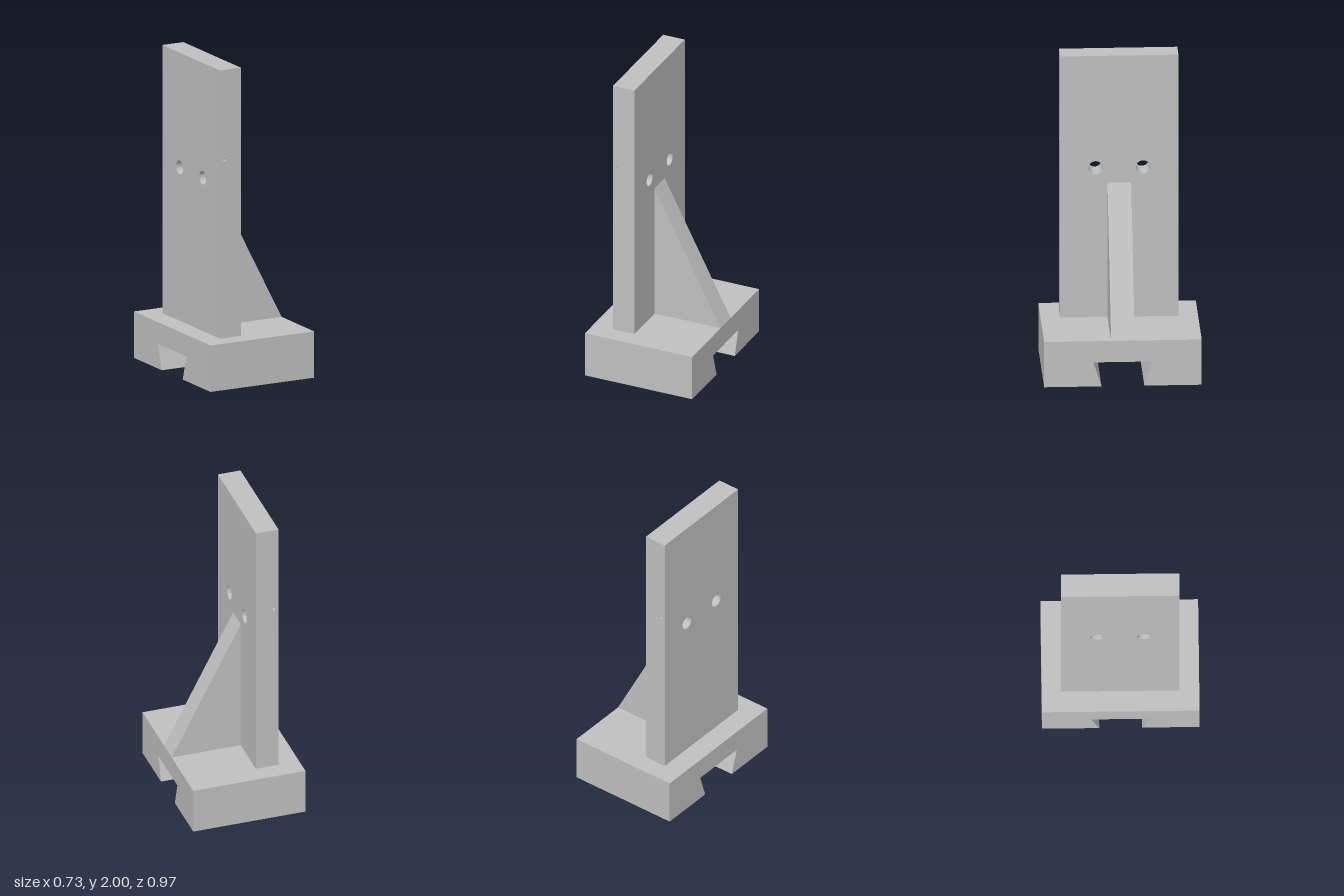
import * as THREE from 'three';
import { toCreasedNormals } from 'three/addons/utils/BufferGeometryUtils.js';

const BASE_TOP = 0.295, TOP = 2, SEAM = 1.36;
const PLATE_X0 = -0.231, PLATE_X1 = -0.084;
const PLATE_HALF = 0.365, BASE_HALF_X = 0.365, BASE_HALF_Z = 0.486;

// Closed outline with optional round holes given as [x, y, radius]
function outline(points, holes = []) {
  const shape = new THREE.Shape(points.map(([x, y]) => new THREE.Vector2(x, y)));
  for (const [x, y, r] of holes) {
    const hole = new THREE.Path();
    hole.absarc(x, y, r, 0, Math.PI * 2, true);
    shape.holes.push(hole);
  }
  return shape;
}

const rect = (x0, y0, x1, y1) => [[x0, y0], [x1, y0], [x1, y1], [x0, y1]];

function extrude(shape, depth) {
  return new THREE.ExtrudeGeometry(shape, { depth, bevelEnabled: false, curveSegments: 32 });
}

// Extrude a profile along z, centred on z = 0
function alongZ(shape, depth) {
  return toCreasedNormals(extrude(shape, depth).translate(0, 0, -depth / 2), 0.6);
}

// Extrude a profile drawn in the z-y plane from x0 to x1
function alongX(shape, x0, x1) {
  return toCreasedNormals(extrude(shape, x1 - x0).rotateY(Math.PI / 2).translate(x0, 0, 0), 0.6);
}

export function createModel() {
  const group = new THREE.Group();
  group.name = 'angleBracket';
  const grey = new THREE.MeshStandardMaterial({ color: 0xc0c0c0 });
  grey.name = 'machinedGrey';

  const add = (name, geometry) => {
    const mesh = new THREE.Mesh(geometry, grey);
    mesh.name = name;
    group.add(mesh);
  };

  // Base block with a dovetail slot running along x
  add('base', alongX(outline([
    [-BASE_HALF_Z, 0], [-0.132, 0], [-0.182, 0.157], [0.182, 0.157],
    [0.132, 0], [BASE_HALF_Z, 0], [BASE_HALF_Z, BASE_TOP], [-BASE_HALF_Z, BASE_TOP],
  ]), -BASE_HALF_X, BASE_HALF_X));

  // Lower upright plate with two bolt holes through its thickness
  add('lowerPlate', alongX(outline(
    rect(-PLATE_HALF, BASE_TOP, PLATE_HALF, SEAM),
    [-1, 1].map((side) => [side * 0.146, 1.27, 0.043]),
  ), PLATE_X0, PLATE_X1));

  // Upper upright plate with a fine cross-drilled hole along its width
  add('upperPlate', alongZ(outline(
    rect(PLATE_X0, SEAM, PLATE_X1, TOP),
    [[-0.2, 1.428, 0.009]],
  ), PLATE_HALF * 2));

  // Triangular stiffening rib
  add('rib', alongZ(outline([
    [PLATE_X1, BASE_TOP], [BASE_HALF_X, BASE_TOP], [PLATE_X1, 1.172],
  ]), 0.146));

  return group;
}
